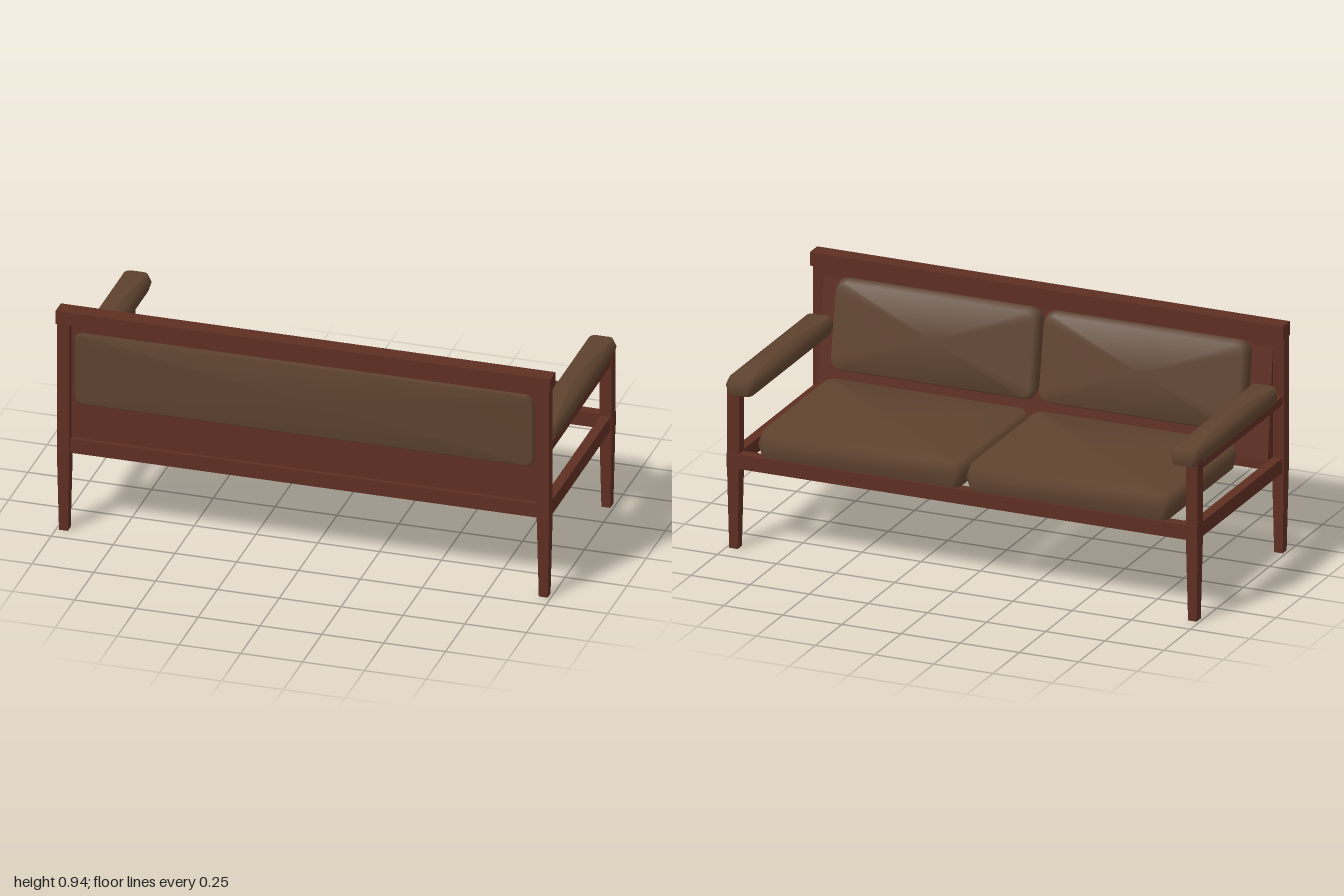
import * as THREE from 'three';

const wood = new THREE.MeshStandardMaterial({ color: 0x5e2e22 });
const leather = new THREE.MeshStandardMaterial({ color: 0x5e422e });

// Box given by its min and max on each axis
function bar(name, x0, x1, y0, y1, z0, z1) {
  const mesh = new THREE.Mesh(new THREE.BoxGeometry(x1 - x0, y1 - y0, z1 - z0), wood);
  mesh.name = name;
  mesh.position.set((x0 + x1) / 2, (y0 + y1) / 2, (z0 + z1) / 2);
  return mesh;
}

// Post that narrows towards the floor below the seat rail
function post(name, x, z, height, zWidth) {
  const group = new THREE.Group();
  group.name = name;
  const seat = 0.335;
  const leg = new THREE.BoxGeometry(0.05, seat, zWidth);
  const p = leg.attributes.position;
  for (let i = 0; i < p.count; i++) {
    if (p.getY(i) < 0) p.setXYZ(i, p.getX(i) * 0.72, p.getY(i), p.getZ(i) * 0.8);
  }
  leg.computeVertexNormals();
  const lower = new THREE.Mesh(leg, wood);
  lower.name = name + 'Foot';
  lower.position.set(x, seat / 2, z);
  group.add(lower, bar(name + 'Upright', x - 0.025, x + 0.025, seat, height, z - zWidth / 2, z + zWidth / 2));
  return group;
}

// Rounded-rectangle cushion: flat base at y = 0, bulging sides, top rising to a centre point
function cushion(name, w, d, h, r, inset) {
  const pos = [], index = [], steps = 4, n = 4 * (steps + 1);
  const ring = (y, s) => {
    for (let c = 0; c < 4; c++) {
      const sx = c === 0 || c === 3 ? 1 : -1, sz = c < 2 ? 1 : -1;
      for (let k = 0; k <= steps; k++) {
        const a = (c + k / steps) * Math.PI / 2, q = r - s * 0.5;
        pos.push(sx * (w / 2 - s - q) + q * Math.cos(a), y, sz * (d / 2 - s - q) + q * Math.sin(a));
      }
    }
  };
  ring(0, inset);
  ring(h * 0.48, 0);
  ring(h * 0.94, inset * 1.2);
  for (let j = 0; j < 2; j++) {
    for (let i = 0; i < n; i++) {
      const a = j * n + i, b = j * n + (i + 1) % n;
      index.push(a, a + n, b, b, a + n, b + n);
    }
  }
  const top = pos.length / 3;
  pos.push(0, h, 0);
  for (let i = 0; i < n; i++) index.push(2 * n + i, top, 2 * n + (i + 1) % n);
  // Separate base ring keeps the lower edge sharp
  const base = pos.length / 3;
  ring(0, inset);
  pos.push(0, 0, 0);
  for (let i = 0; i < n; i++) index.push(base + n, base + i, base + (i + 1) % n);
  const g = new THREE.BufferGeometry();
  g.setAttribute('position', new THREE.Float32BufferAttribute(pos, 3));
  g.setIndex(index);
  g.computeVertexNormals();
  const mesh = new THREE.Mesh(g, leather);
  mesh.name = name;
  return mesh;
}

export function createModel() {
  const model = new THREE.Group();
  model.name = 'sofa';

  for (const s of [-1, 1]) {
    const side = s > 0 ? 'left' : 'right';
    const x0 = s * 0.97 - 0.02, x1 = s * 0.97 + 0.02;
    // Posts and side rails
    model.add(
      post(side + 'BackPost', s * 0.97, 0.419, 0.89, 0.047),
      post(side + 'FrontPost', s * 0.97, -0.395, 0.67, 0.05),
      bar(side + 'SeatRail', x0, x1, 0.335, 0.395, -0.39, 0.4),
      bar(side + 'ArmRail', x0, x1, 0.615, 0.65, -0.38, 0.4)
    );

    // Padded armrest
    const arm = cushion(side + 'ArmPad', 0.12, 0.8, 0.071, 0.03, 0.01);
    arm.position.set(s * 0.94, 0.641, -0.044);
    model.add(arm);

    // Seat cushion
    const seat = cushion(side + 'SeatCushion', 0.865, 0.685, 0.107, 0.04, 0.012);
    seat.position.set(s * 0.44, 0.395, -0.087);
    model.add(seat);

    // Leaning back cushion
    const back = cushion(side + 'BackCushion', 0.865, 0.367, 0.104, 0.045, 0.012);
    back.rotation.x = -1.392;
    back.position.set(s * 0.44, 0.684, 0.376);
    model.add(back);
  }

  // Cross rails
  model.add(
    bar('frontRail', -0.995, 0.995, 0.335, 0.395, -0.425, -0.38),
    bar('backRail', -0.95, 0.95, 0.335, 0.395, 0.395, 0.43),
    bar('topRail', -1, 1, 0.89, 0.945, 0.375, 0.445),
    bar('backPanel', -0.95, 0.95, 0.39, 0.89, 0.393, 0.412)
  );

  // Sloping support behind the back cushions
  const profile = new THREE.Shape([
    new THREE.Vector2(-0.345, 0.395),
    new THREE.Vector2(-0.394, 0.86),
    new THREE.Vector2(-0.394, 0.395)
  ]);
  const wedgeGeometry = new THREE.ExtrudeGeometry(profile, { depth: 1.9, bevelEnabled: false });
  const wedge = new THREE.Mesh(wedgeGeometry, wood);
  wedge.name = 'backSupport';
  wedge.rotation.y = Math.PI / 2;
  wedge.position.x = -0.95;
  model.add(wedge);

  // Upholstered pad on the rear of the back panel
  const rear = cushion('rearPad', 1.86, 0.308, 0.032, 0.035, 0.008);
  rear.rotation.x = Math.PI / 2;
  rear.position.set(0, 0.703, 0.409);
  model.add(rear);

  return model;
}
